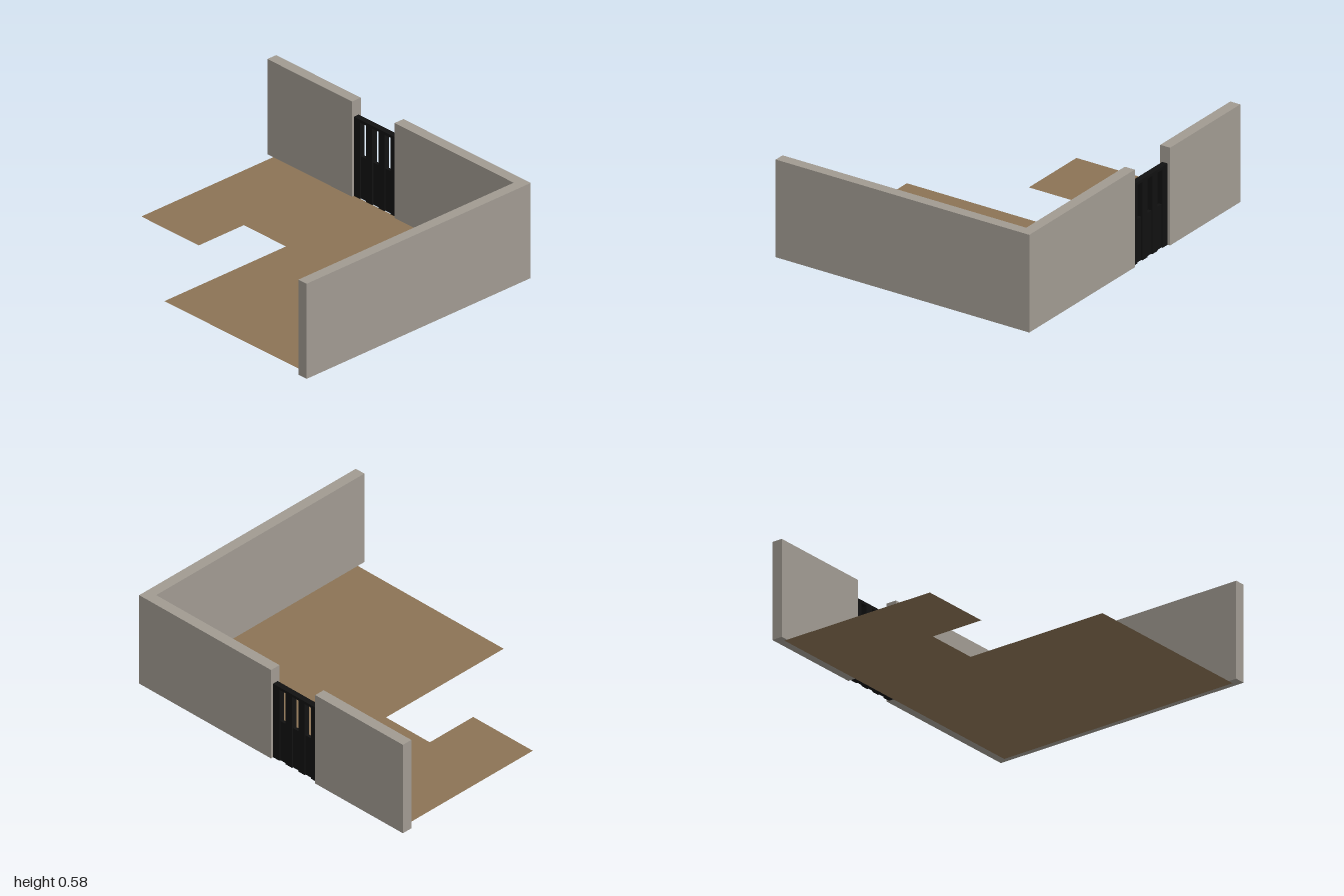
import * as THREE from 'three';

const mat = (name, color, extra = {}) => {
  const m = new THREE.MeshStandardMaterial({ color, ...extra });
  m.name = name;
  return m;
};

export function createModel() {
  const stone = mat('stone grey', 0xa09a91);
  const dirt = mat('earth brown', 0x8b7355, { side: THREE.DoubleSide });
  const iron = mat('iron black', 0x111111);
  const model = new THREE.Group();
  model.name = 'walledYard';

  // Box given by its min and max corners
  const box = (name, material, x0, x1, y0, y1, z0, z1, parent = model) => {
    const mesh = new THREE.Mesh(new THREE.BoxGeometry(x1 - x0, y1 - y0, z1 - z0), material);
    mesh.position.set((x0 + x1) / 2, (y0 + y1) / 2, (z0 + z1) / 2);
    mesh.name = name;
    parent.add(mesh);
  };

  // Walls, with a gap for the gate on the +x side
  const H = 0.585, lift = 0.001, inner = 0.768, outer = 0.833;
  box('frontWall', stone, -outer, outer, lift, H, 0.935, 1);
  box('sideWallFront', stone, inner, outer, lift, H, 0, 0.935);
  box('sideWallBack', stone, inner, outer, lift, H, -1, -0.335);

  // Flat ground with a notch, drawn in x and -z
  const outline = [[-0.783, -0.967], [0.785, -0.967], [0.785, 0.955], [-0.212, 0.955],
    [-0.212, 0.503], [0.122, 0.503], [0.122, 0.171], [-0.783, 0.171]];
  const ground = new THREE.Mesh(
    new THREE.ShapeGeometry(new THREE.Shape(outline.map(([x, y]) => new THREE.Vector2(x, y)))), dirt);
  ground.rotation.x = -Math.PI / 2;
  ground.name = 'ground';
  model.add(ground);

  // Gate: four thick uprights joined by thinner panels and a top rail
  const gate = new THREE.Group();
  gate.name = 'gate';
  model.add(gate);
  const slat = 0.335 / 7;
  for (let i = 0; i < 7; i++) {
    const z1 = -i * slat, z0 = z1 - slat;
    if (i % 2 === 0) {
      box('gateUpright', iron, 0.782, 0.817, lift, 0.487, z0, z1, gate);
    } else {
      box('gatePanel', iron, 0.79, 0.809, lift, 0.26, z0, z1, gate);
      box('gateTopRail', iron, 0.782, 0.817, 0.47, 0.487, z0, z1, gate);
    }
  }
  return model;
}
